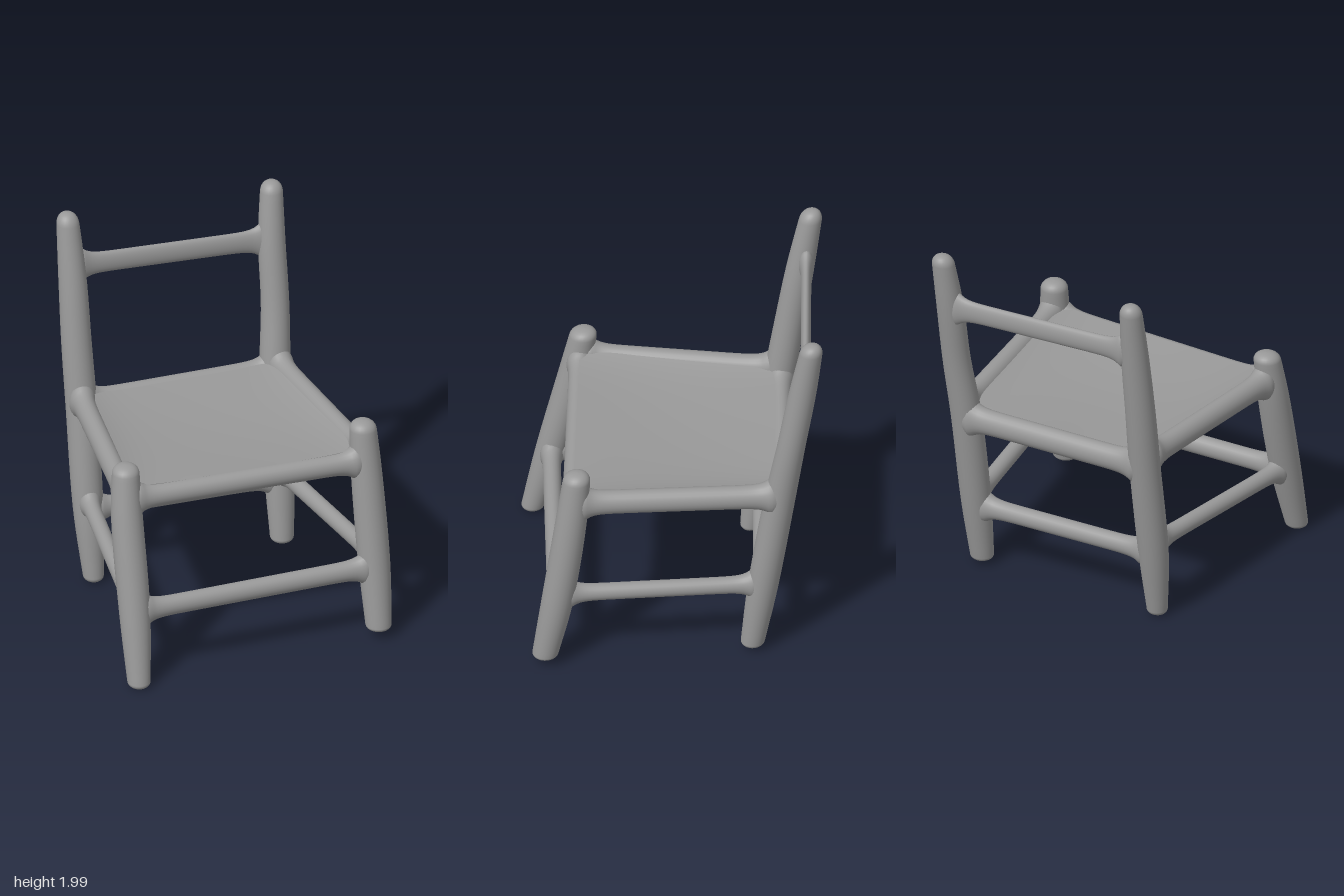
import * as THREE from 'three';

const material = new THREE.MeshStandardMaterial({ color: 0x999999 });
const UP = new THREE.Vector3(0, 1, 0);
const SIDES = 24;

// Skin a list of rings { c, ru, rv } whose ovals lie in the plane of u and v (u x v = travel direction)
function skin(name, rings, u, v) {
  const pos = [], index = [];
  for (const { c, ru, rv } of rings) {
    for (let i = 0; i < SIDES; i++) {
      const a = (i / SIDES) * Math.PI * 2;
      const p = c.clone().addScaledVector(u, Math.cos(a) * ru).addScaledVector(v, Math.sin(a) * rv);
      pos.push(p.x, p.y, p.z);
    }
  }
  for (let j = 0; j < rings.length - 1; j++) {
    for (let i = 0; i < SIDES; i++) {
      const a = j * SIDES + i, b = j * SIDES + ((i + 1) % SIDES);
      index.push(a, b, b + SIDES, a, b + SIDES, a + SIDES);
    }
  }
  const geo = new THREE.BufferGeometry();
  geo.setAttribute('position', new THREE.Float32BufferAttribute(pos, 3));
  geo.setIndex(index);
  geo.computeVertexNormals();
  const mesh = new THREE.Mesh(geo, material);
  mesh.name = name;
  return mesh;
}

// Upright post: stations [x, y, z, radius] from foot to tip, with short rounded ends
function post(name, stations) {
  const centre = new THREE.CatmullRomCurve3(stations.map(([x, y, z]) => new THREE.Vector3(x, y, z)));
  const radius = new THREE.CatmullRomCurve3(stations.map(([, y, , r]) => new THREE.Vector3(r, y, 0)));
  const rings = [];
  const add = (t, k) => {
    const r = radius.getPoint(t).x * k;
    rings.push({ c: centre.getPoint(t), ru: r, rv: r });
  };
  const capRings = 7, spans = stations.length - 1;
  const foot = 0.08 / spans, tip = 0.17 / spans;
  for (let i = 0; i <= capRings; i++) {
    const a = (i / capRings) * Math.PI / 2;
    add(foot * (1 - Math.cos(a)), Math.pow(Math.sin(a), 0.7));
  }
  for (let i = 1; i < 30; i++) add(foot + (1 - foot - tip) * i / 30, 1);
  for (let i = capRings; i >= 0; i--) {
    const a = (i / capRings) * Math.PI / 2;
    add(1 - tip * (1 - Math.cos(a)), Math.pow(Math.sin(a), 0.8));
  }
  return skin(name, rings, new THREE.Vector3(0, 0, 1), new THREE.Vector3(1, 0, 0));
}

// Cross rail between two post axes, flaring where it melts into the posts
function rail(name, from, to, height, depth) {
  const a = new THREE.Vector3(...from), b = new THREE.Vector3(...to);
  const flat = b.clone().sub(a).setY(0).normalize();
  const v = flat.clone().cross(UP);
  const length = a.distanceTo(b);
  const rings = [];
  const n = 48;
  for (let i = 0; i <= n; i++) {
    const t = (1 - Math.cos((i / n) * Math.PI)) / 2;
    const s = Math.min(t, 1 - t) * length;
    const flare = Math.min(s / 0.06, 1) * Math.exp(-Math.max(s - 0.06, 0) / 0.035);
    rings.push({ c: a.clone().lerp(b, t), ru: height + 0.04 * flare, rv: depth + 0.015 * flare });
  }
  return skin(name, rings, UP, v);
}

// Sheet stretched over the four seat rails, lifted along the sides and sagging in the middle
function seatSheet(fl, fr, bl, br) {
  const [FL, FR, BL, BR] = [fl, fr, bl, br].map((p) => new THREE.Vector3(...p));
  const geo = new THREE.BoxGeometry(1, 1, 1, 32, 1, 32);
  const p = geo.attributes.position;
  for (let i = 0; i < p.count; i++) {
    const s = p.getX(i) + 0.5, t = p.getZ(i) + 0.5;
    const q = BL.clone().lerp(BR, s).lerp(FL.clone().lerp(FR, s), t);
    const inner = Math.sin(Math.PI * s) * Math.sin(Math.PI * t);
    const side = Math.pow(Math.abs(2 * s - 1), 6);
    const top = p.getY(i) > 0;
    const y = q.y + (top ? 0.058 + 0.03 * side - 0.025 * inner : -0.03 - 0.01 * inner);
    p.setXYZ(i, q.x, y, q.z);
  }
  geo.computeVertexNormals();
  const mesh = new THREE.Mesh(geo, material);
  mesh.name = 'seat';
  return mesh;
}

export function createModel() {
  const chair = new THREE.Group();
  chair.name = 'chair';

  // Four splayed posts, each slightly different as if hand-made
  chair.add(
    post('frontLegLeft', [
      [0.66, 0.05, 0.595, 0.066], [0.655, 0.4, 0.53, 0.082],
      [0.635, 0.9, 0.46, 0.08], [0.622, 1.19, 0.43, 0.068]]),
    post('frontLegRight', [
      [-0.66, 0.01, 0.75, 0.058], [-0.655, 0.4, 0.65, 0.08],
      [-0.66, 0.9, 0.53, 0.081], [-0.652, 1.165, 0.48, 0.068]]),
    post('backLegLeft', [
      [0.46, 0.03, -0.45, 0.06], [0.462, 0.4, -0.505, 0.078], [0.465, 0.95, -0.59, 0.08],
      [0.483, 1.3, -0.65, 0.073], [0.483, 1.65, -0.71, 0.07], [0.497, 1.963, -0.762, 0.056]]),
    post('backLegRight', [
      [-0.565, 0.01, -0.37, 0.052], [-0.578, 0.4, -0.425, 0.078], [-0.587, 0.95, -0.515, 0.081],
      [-0.597, 1.3, -0.57, 0.078], [-0.602, 1.65, -0.625, 0.072], [-0.613, 2.0, -0.685, 0.056]]),
  );

  // Seat frame and sheet
  const fl = [-0.655, 0.972, 0.505], fr = [0.63, 0.967, 0.455];
  const bl = [-0.592, 0.962, -0.525], br = [0.476, 0.945, -0.605];
  chair.add(
    rail('seatRailFront', fl, fr, 0.058, 0.053),
    rail('seatRailBack', bl, br, 0.068, 0.055),
    rail('seatRailRight', [-0.655, 0.998, 0.505], [-0.592, 1.005, -0.525], 0.064, 0.055),
    rail('seatRailLeft', [0.63, 1.002, 0.455], [0.476, 0.988, -0.605], 0.064, 0.056),
    seatSheet(fl, fr, bl, br),
  );

  // Lower stretchers
  chair.add(
    rail('stretcherFront', [-0.655, 0.395, 0.65], [0.655, 0.385, 0.535], 0.053, 0.046),
    rail('stretcherBack', [-0.578, 0.4, -0.425], [0.462, 0.375, -0.502], 0.05, 0.045),
    rail('stretcherRight', [-0.655, 0.41, 0.645], [-0.578, 0.455, -0.435], 0.045, 0.042),
    rail('stretcherLeft', [0.655, 0.445, 0.522], [0.462, 0.42, -0.51], 0.045, 0.042),
  );

  // Back rest rail
  chair.add(rail('backRail', [-0.602, 1.7, -0.655], [0.485, 1.645, -0.725], 0.058, 0.026));

  return chair;
}
